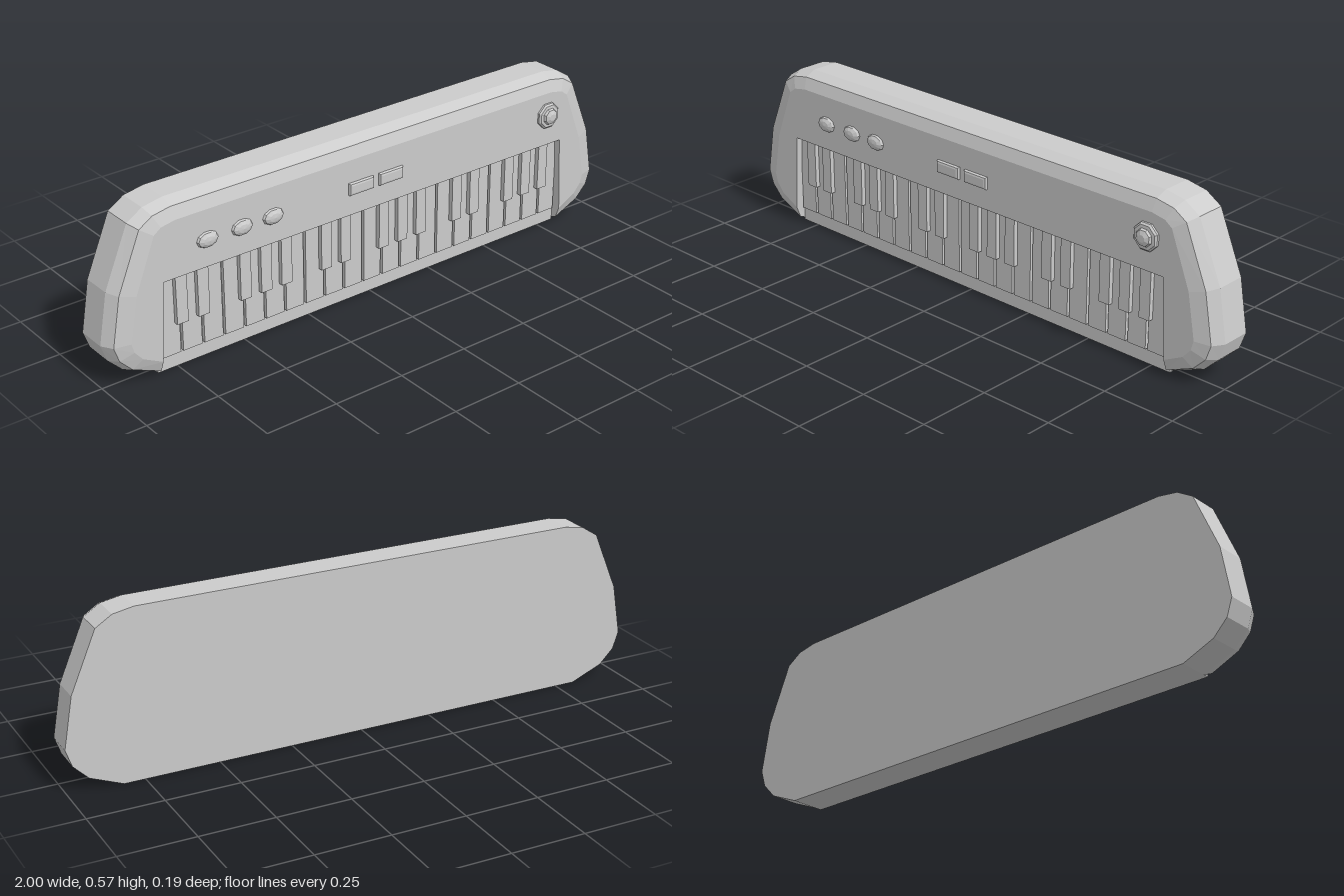
import * as THREE from 'three';

const grey = new THREE.MeshStandardMaterial({ color: 0xcccccc, flatShading: true, side: THREE.DoubleSide });

function add(parent, name, geo, x = 0, y = 0, z = 0) {
  const m = new THREE.Mesh(geo, grey);
  m.name = name;
  m.position.set(x, y, z);
  parent.add(m);
  return m;
}

function polygons(pos) {
  const g = new THREE.BufferGeometry();
  g.setAttribute('position', new THREE.Float32BufferAttribute(pos, 3));
  g.computeVertexNormals();
  return g;
}

// Case outline, from the lower left corner of the keybed round to its mirror image
const half = [[0.82, 0], [0.93, 0.045], [0.98, 0.095], [1, 0.153], [0.97, 0.325],
  [0.885, 0.525], [0.83, 0.56], [0.76, 0.573]];
const outline = [...half, ...half.slice().reverse().map(([x, y]) => [-x, y])]
  .map(([x, y]) => new THREE.Vector2(x, y));

// Moves the outline inwards along its corner normals
function inset(d) {
  const n = outline.length;
  return outline.map((p, i) => {
    if (i === 0 || i === n - 1) return new THREE.Vector2(p.x, p.y + d);
    const a = p.clone().sub(outline[i - 1]).normalize();
    const b = outline[i + 1].clone().sub(p).normalize();
    const t = a.add(b).normalize();
    return new THREE.Vector2(p.x - t.y * d * 1.3, p.y + t.x * d);
  });
}

const NOTCH_TOP = 0.325, NOTCH_X = 0.805, FACE_Z = 0.065, BACK_Z = -0.092, SLAB_Z = 0.01;

function addCase(group) {
  // Back slab
  add(group, 'backShell', new THREE.ExtrudeGeometry(new THREE.Shape(outline),
    { depth: SLAB_Z - BACK_Z, bevelEnabled: false }), 0, 0, BACK_Z);

  // Two bevel bands round the front
  const rings = [[0, SLAB_Z], [0.017, 0.05], [0.057, FACE_Z]].map(([d, z]) => ({ pts: inset(d), z }));
  const pos = [];
  for (let r = 0; r < 2; r++) {
    const A = rings[r], B = rings[r + 1];
    for (let i = 0; i < outline.length - 1; i++) {
      const a = [A.pts[i].x, A.pts[i].y, A.z], b = [A.pts[i + 1].x, A.pts[i + 1].y, A.z];
      const c = [B.pts[i + 1].x, B.pts[i + 1].y, B.z], d = [B.pts[i].x, B.pts[i].y, B.z];
      pos.push(...a, ...b, ...c, ...a, ...c, ...d);
    }
  }
  add(group, 'frontBevel', polygons(pos));

  // Front panel with the keybed left open
  const panel = [...rings[2].pts, new THREE.Vector2(-NOTCH_X, NOTCH_TOP), new THREE.Vector2(NOTCH_X, NOTCH_TOP)];
  add(group, 'frontPanel', new THREE.ShapeGeometry(new THREE.Shape(panel)), 0, 0, FACE_Z);

  // Walls of the keybed
  for (const s of [1, -1]) {
    const w = [[0.82, 0, SLAB_Z], [0.82, 0.017, 0.05], [0.82, 0.057, FACE_Z],
      [NOTCH_X, NOTCH_TOP, FACE_Z], [NOTCH_X, NOTCH_TOP, SLAB_Z]].map(([x, y, z]) => [s * x, y, z]);
    const tris = [];
    for (let i = 1; i < w.length - 1; i++) {
      const pair = s > 0 ? [w[i], w[i + 1]] : [w[i + 1], w[i]];
      tris.push(...w[0], ...pair[0], ...pair[1]);
    }
    add(group, 'keybedSideWall', polygons(tris));
  }
  add(group, 'keybedTopWall', new THREE.PlaneGeometry(2 * NOTCH_X, FACE_Z - SLAB_Z).rotateX(Math.PI / 2),
    0, NOTCH_TOP, (FACE_Z + SLAB_Z) / 2);
  add(group, 'keybedFloor', new THREE.BoxGeometry(1.64, NOTCH_TOP, 0.02), 0, NOTCH_TOP / 2, 0.02);
}

function addKeys(group) {
  const keys = new THREE.Group();
  keys.name = 'keys';
  group.add(keys);
  const count = 21, pitch = 1.63 / count;
  for (let i = 0; i < count; i++) {
    const x = (i - (count - 1) / 2) * pitch;
    add(keys, 'whiteKey', new THREE.BoxGeometry(pitch - 0.009, 0.273, 0.02), x, 0.1885, 0.032);
    // Two and three raised keys in each octave
    if ([0, 1, 3, 4, 5].includes(i % 7)) {
      add(keys, 'blackKey', new THREE.BoxGeometry(0.04, 0.165, 0.03), x + pitch / 2 - 0.002, 0.2425, 0.043);
    }
  }
}

function addControls(group) {
  // Oval buttons
  for (const x of [-0.645, -0.52, -0.405]) {
    const oval = new THREE.SphereGeometry(1, 10, 6).rotateX(Math.PI / 2).scale(0.04, 0.028, 0.018);
    add(group, 'ovalButton', oval, x, 0.417, 0.063);
  }
  // Bevelled rectangular buttons
  const w = 0.04, h = 0.013;
  const rect = new THREE.Shape([[-w, -h], [w, -h], [w, h], [-w, h]].map(p => new THREE.Vector2(...p)));
  for (const x of [-0.065, 0.055]) {
    add(group, 'flatButton', new THREE.ExtrudeGeometry(rect,
      { depth: 0.008, bevelThickness: 0.006, bevelSize: 0.008, bevelSegments: 2 }), x, 0.417, 0.062);
  }
  // Eight-sided stepped knob
  const profile = [[0.047, 0.055], [0.047, 0.072], [0.041, 0.078], [0.03, 0.079],
    [0.026, 0.087], [0.012, 0.093], [0, 0.093]].map(p => new THREE.Vector2(...p));
  add(group, 'knob', new THREE.LatheGeometry(profile, 8, Math.PI / 8).rotateX(Math.PI / 2), 0.74, 0.436, 0);
}

export function createModel() {
  const group = new THREE.Group();
  group.name = 'keyboard';
  addCase(group);
  addKeys(group);
  addControls(group);
  return group;
}
